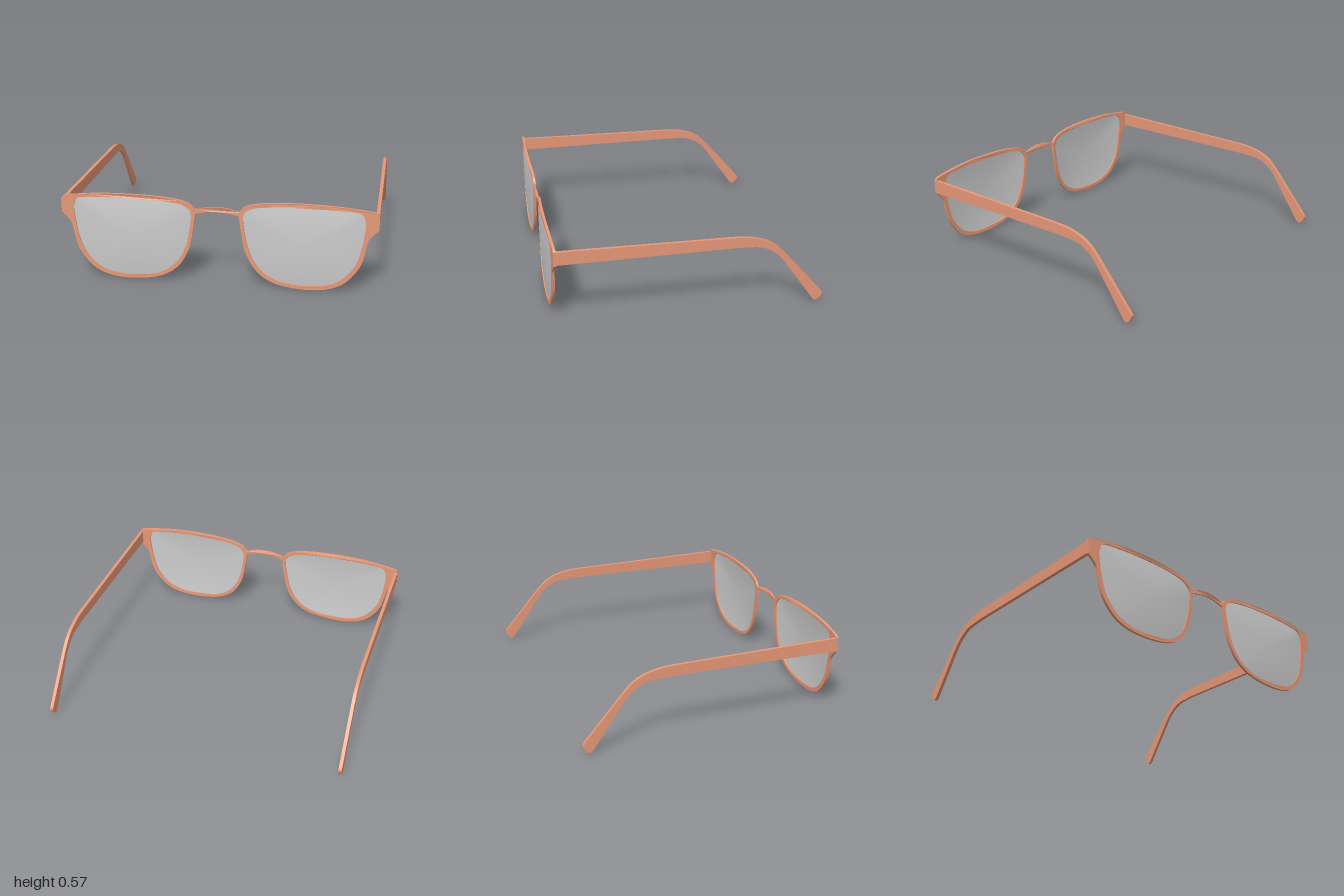
import * as THREE from 'three';
import { toCreasedNormals } from 'three/addons/utils/BufferGeometryUtils.js';

const frameMat = new THREE.MeshStandardMaterial({ color: 0xe69878 });
const lensMat = new THREE.MeshStandardMaterial({ color: 0xcccccc, side: THREE.DoubleSide });

const CENTRE = [0.53, 0.29];
// Gentle forward bow of each eye rim
const bow = (x) => {
  const d = Math.abs(x) - 0.54;
  return 0.821 + 0.016 * (1 - (d / (d < 0 ? 0.42 : 0.46)) ** 2);
};

// Outline of one rim, from the outer lug over the brow, round the nose and back
const RIM = [[1, 0.515], [0.985, 0.528], [0.93, 0.54], [0.74, 0.561], [0.52, 0.567], [0.32, 0.557],
  [0.2, 0.534], [0.15, 0.5], [0.138, 0.46], [0.15, 0.36], [0.18, 0.22], [0.25, 0.1], [0.36, 0.03],
  [0.52, 0.002], [0.68, 0.01], [0.8, 0.06], [0.89, 0.17], [0.923, 0.28], [0.936, 0.345],
  [0.96, 0.382], [1, 0.42]];
// Closed lens opening
const OPENING = [[0.917, 0.47], [0.895, 0.518], [0.8, 0.534], [0.52, 0.541], [0.32, 0.532],
  [0.21, 0.51], [0.168, 0.47], [0.172, 0.37], [0.205, 0.225], [0.27, 0.115], [0.37, 0.05],
  [0.52, 0.027], [0.67, 0.034], [0.78, 0.08], [0.865, 0.185], [0.897, 0.29], [0.912, 0.38]];

const vecs = (pts, s = 1) => pts.map(([x, y]) => new THREE.Vector2(x * s, y));

function openingPoints(s) {
  const curve = new THREE.CatmullRomCurve3(
    OPENING.map(([x, y]) => new THREE.Vector3(x * s, y, 0)), true);
  const pts = curve.getPoints(80).slice(0, -1).map((p) => new THREE.Vector2(p.x, p.y));
  return THREE.ShapeUtils.isClockWise(pts) ? pts.reverse() : pts;
}

// Extrude a flat shape and push its vertices forward by a rule of x
function bentPlate(shape, depth, rule) {
  const geo = new THREE.ExtrudeGeometry(shape, { depth, bevelEnabled: false, curveSegments: 6 });
  const p = geo.attributes.position;
  for (let i = 0; i < p.count; i++) p.setZ(i, p.getZ(i) + rule(p.getX(i)));
  return toCreasedNormals(geo, 0.6);
}

function rimGeometry(s) {
  const outline = new THREE.SplineCurve(vecs(RIM, s)).getPoints(100);
  const shape = new THREE.Shape(outline);
  shape.holes.push(new THREE.Path(openingPoints(s)));
  return bentPlate(shape, 0.017, bow);
}

// Domed lens made of concentric rings of the opening
function lensGeometry(s) {
  const edge = openingPoints(s), n = edge.length, rings = 8;
  const pos = [], idx = [];
  const cx = CENTRE[0] * s, cy = CENTRE[1];
  for (let r = 0; r <= rings; r++) {
    const t = r / rings;
    for (const e of edge) {
      const x = cx + (e.x - cx) * t * 1.004, y = cy + (e.y - cy) * t * 1.004;
      pos.push(x, y, bow(x) + 0.009 + 0.016 * (1 - t * t));
    }
  }
  for (let r = 0; r < rings; r++) {
    for (let i = 0; i < n; i++) {
      const a = r * n + i, b = r * n + (i + 1) % n;
      if (r > 0) idx.push(a, b + n, b);
      idx.push(a, a + n, b + n);
    }
  }
  const geo = new THREE.BufferGeometry();
  geo.setAttribute('position', new THREE.Float32BufferAttribute(pos, 3));
  geo.setIndex(idx);
  geo.computeVertexNormals();
  return geo;
}

// Arched nose bridge
function bridgeGeometry() {
  const shape = new THREE.Shape();
  shape.moveTo(-0.155, 0.485);
  shape.splineThru(vecs([[-0.12, 0.491], [-0.06, 0.506], [0, 0.51], [0.06, 0.506], [0.12, 0.491], [0.155, 0.485]]));
  shape.lineTo(0.155, 0.448);
  shape.splineThru(vecs([[0.12, 0.463], [0.06, 0.476], [0, 0.48], [-0.06, 0.476], [-0.12, 0.463], [-0.155, 0.448]]));
  return bentPlate(shape, 0.01, (x) => 0.833 - 0.008 * (x / 0.15) ** 2);
}

// Temple arm, drawn in side profile (z, y) and given its thickness along x
function templeGeometry(s) {
  const shape = new THREE.Shape();
  shape.moveTo(0.83, 0.511);
  shape.lineTo(-0.28, 0.498);
  shape.splineThru(vecs([[-0.38, 0.489], [-0.47, 0.465], [-0.54, 0.427], [-0.6, 0.37]]));
  shape.lineTo(-0.85, 0.083);
  shape.splineThru(vecs([[-0.863, 0.06], [-0.855, 0.036], [-0.832, 0.014], [-0.815, 0.012], [-0.8, 0.024]]));
  shape.lineTo(-0.61, 0.295);
  shape.splineThru(vecs([[-0.565, 0.35], [-0.51, 0.392], [-0.44, 0.42], [-0.31, 0.43]]));
  shape.lineTo(0.83, 0.425);
  const geo = new THREE.ExtrudeGeometry(shape, { depth: 0.022, bevelEnabled: false, curveSegments: 6 });
  geo.rotateY(-Math.PI / 2);
  geo.translate(s > 0 ? 0.999 : -0.977, 0, 0);
  return toCreasedNormals(geo, 0.6);
}

export function createModel() {
  const group = new THREE.Group();
  group.name = 'eyeglasses';
  const add = (name, geo, mat) => {
    const mesh = new THREE.Mesh(geo, mat);
    mesh.name = name;
    group.add(mesh);
  };
  for (const [side, s] of [['left', 1], ['right', -1]]) {
    add(side + 'Rim', rimGeometry(s), frameMat);
    add(side + 'Lens', lensGeometry(s), lensMat);
    add(side + 'Temple', templeGeometry(s), frameMat);
  }
  add('bridge', bridgeGeometry(), frameMat);
  return group;
}
